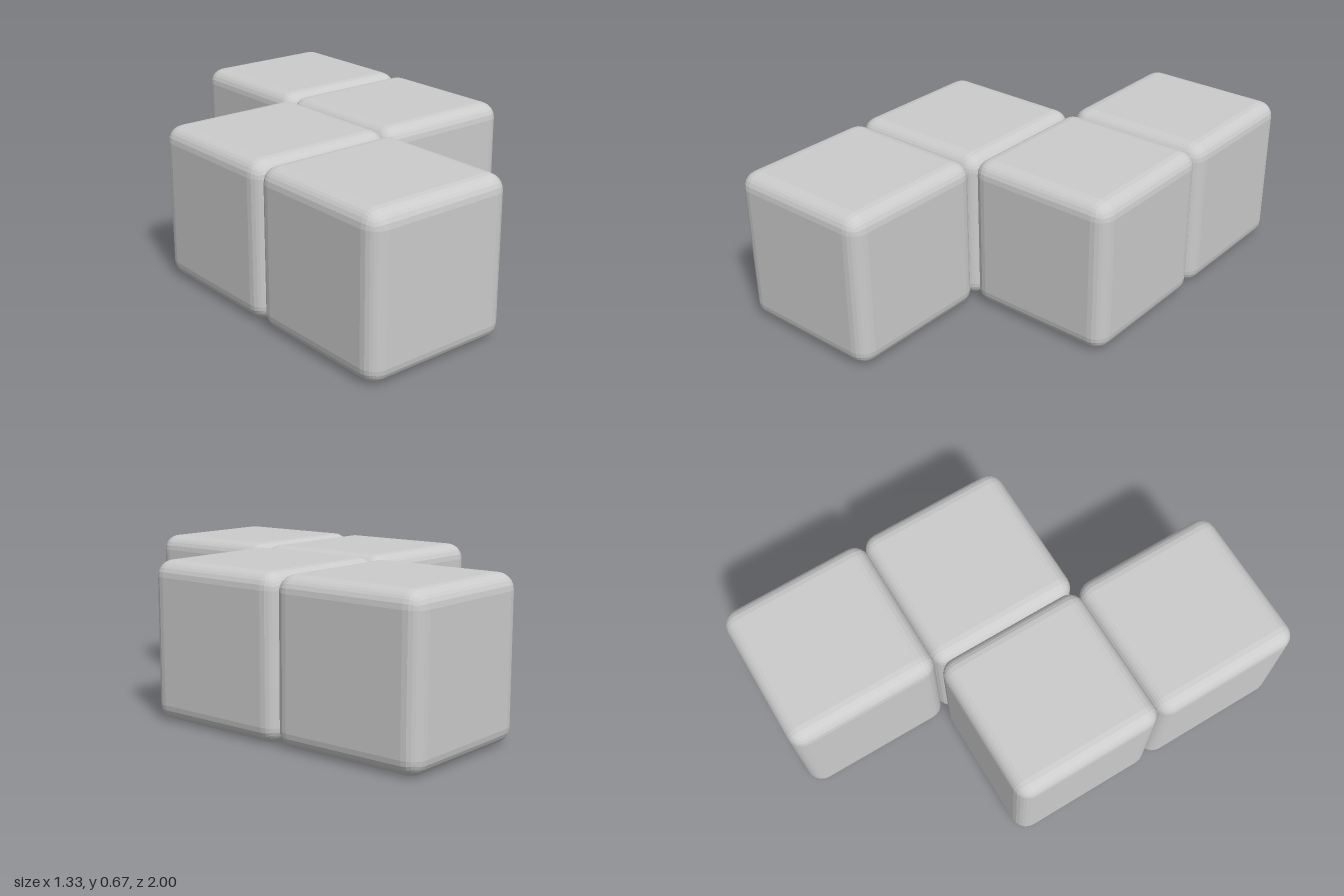
import * as THREE from 'three';
import { RoundedBoxGeometry } from 'three/addons/geometries/RoundedBoxGeometry.js';

export function createModel() {
  const model = new THREE.Group();
  model.name = 'zigzagBlock';

  const size = 0.67;
  const material = new THREE.MeshStandardMaterial({ color: 0xcccccc, flatShading: true });
  const cube = new RoundedBoxGeometry(size, size, size, 3, 0.068);

  // Four cubes in two offset rows: name, x, z
  const cubes = [
    ['frontRightCube', -0.328, 0.665],
    ['middleRightCube', -0.328, 0],
    ['middleLeftCube', 0.328, 0],
    ['backLeftCube', 0.328, -0.665],
  ];
  for (const [name, x, z] of cubes) {
    const mesh = new THREE.Mesh(cube, material);
    mesh.name = name;
    mesh.position.set(x, size / 2, z);
    model.add(mesh);
  }
  return model;
}
